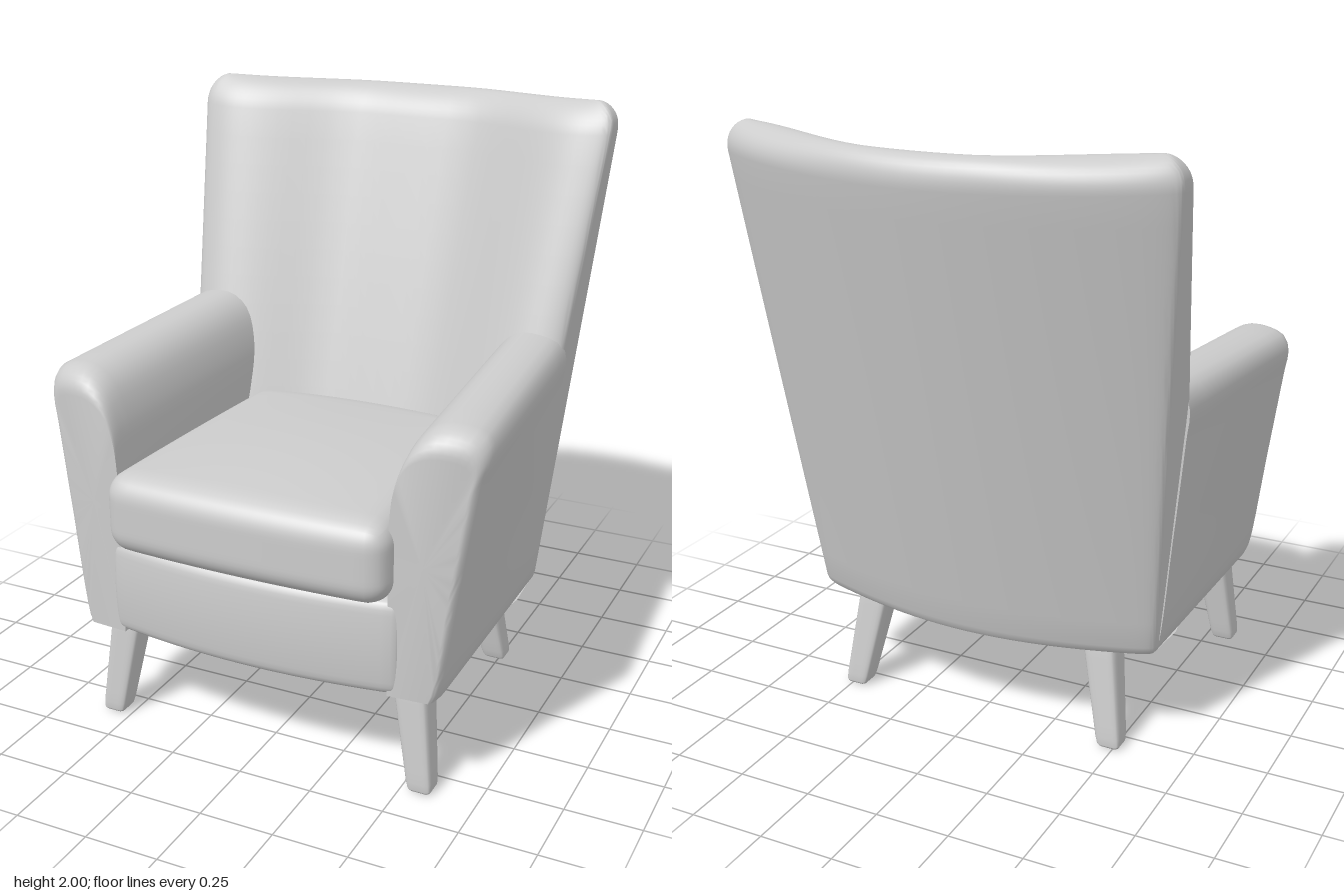
import * as THREE from 'three';
import { mergeVertices, toCreasedNormals } from 'three/addons/utils/BufferGeometryUtils.js';

const CREASE = 0.75;

// Skin closed rings of Vector3, optionally capping both ends; faces are turned outward by signed volume
function loft(rings, capped) {
  const n = rings[0].length, pos = [], tris = [];
  rings.forEach(r => r.forEach(p => pos.push(p.x, p.y, p.z)));
  for (let i = 0; i < rings.length - 1; i++) {
    for (let j = 0; j < n; j++) {
      const a = i * n + j, b = i * n + (j + 1) % n;
      tris.push([a, b, b + n], [a, b + n, a + n]);
    }
  }
  if (capped) [0, rings.length - 1].forEach(i => {
    const c = rings[i].reduce((s, p) => s.add(p), new THREE.Vector3()).divideScalar(n);
    const k = pos.length / 3;
    pos.push(c.x, c.y, c.z);
    for (let j = 0; j < n; j++) {
      const a = i * n + j, b = i * n + (j + 1) % n;
      tris.push(i === 0 ? [k, b, a] : [k, a, b]);
    }
  });
  const at = i => new THREE.Vector3().fromArray(pos, i * 3);
  const volume = tris.reduce((s, [a, b, c]) => s + at(a).dot(at(b).cross(at(c))), 0);
  if (volume < 0) tris.forEach(t => t.reverse());
  const g = new THREE.BufferGeometry();
  g.setAttribute('position', new THREE.Float32BufferAttribute(pos, 3));
  g.setIndex(tris.flat());
  return toCreasedNormals(g, CREASE);
}

// Rounded block whose vertices are then moved by a warp rule
function puff(w, h, d, r, warp, seg = 20) {
  let g = new THREE.BoxGeometry(w, h, d, seg, seg, seg);
  g.deleteAttribute('uv');
  g.deleteAttribute('normal');
  g = mergeVertices(g);
  const p = g.attributes.position, v = new THREE.Vector3(), half = new THREE.Vector3(w / 2, h / 2, d / 2);
  const inner = half.clone().subScalar(r);
  for (let i = 0; i < p.count; i++) {
    v.fromBufferAttribute(p, i);
    for (const k of ['x', 'y', 'z']) v[k] = half[k] * Math.sin(Math.PI / 2 * v[k] / half[k]);
    const core = v.clone().clamp(inner.clone().negate(), inner);
    v.sub(core).setLength(r).add(core);
    warp(v);
    p.setXYZ(i, v.x, v.y, v.z);
  }
  g.computeVertexNormals();
  return g;
}

// Curved, raked backrest with wings; it closes along a curved ridge at top and bottom
function backGeometry() {
  const N = 56, levels = [[0.35, 0, 0], [0.35, 0.95, 0.01], [0.362, 0.985, 0.003]];
  for (let i = 0; i <= 16; i++) levels.push([0.38 + 1.52 * i / 16, 1, 0]);
  for (let i = 1; i <= 10; i++) {
    const a = Math.PI / 2 * i / 10;
    levels.push([1.9 + 0.1 * Math.sin(a), Math.cos(a), 0.075 * (1 - Math.cos(a))]);
  }
  return loft(levels.map(([y, thick, inset]) => {
    const t = (y - 0.35) / 1.6, w = 0.62 + 0.138 * Math.min(t, 1) - inset, ring = [];
    const point = (u, side) => {
      const m = Math.abs(u);
      const outer = -0.42 - 0.345 * t + (0.12 + 0.08 * t) * m ** 1.9;
      const inner = -0.27 - 0.325 * (y - 0.95) + 0.165 * THREE.MathUtils.smoothstep(m, 0.2, 0.9);
      const n = side < 0 ? THREE.MathUtils.lerp(30, 9, Math.min(t, 1)) : 5;
      const h = (inner - outer) / 2 * thick * Math.max(0, 1 - m ** n) ** (1 / n);
      ring.push(new THREE.Vector3(u * w, y + 0.018 * t * t * (u * u - 1),
        (outer + inner) / 2 + side * h));
    };
    const spread = i => Math.sin(Math.PI / 2 * Math.sin(Math.PI / 2 * (2 * i / N - 1)));
    for (let i = 0; i < N; i++) point(spread(i), -1);
    for (let i = N; i > 0; i--) point(spread(i), 1);
    return ring;
  }), false);
}

// Arm: rolled-top section swept from back to front, with a softened front edge
function armGeometry(side) {
  const section = new THREE.CatmullRomCurve3([
    [0.47, 0.35], [0.47, 0.66], [0.47, 0.93], [0.488, 1.08], [0.535, 1.185], [0.6, 1.228],
    [0.68, 1.228], [0.733, 1.207], [0.752, 1.16], [0.739, 1.07], [0.693, 0.76], [0.635, 0.38], [0.622, 0.35],
  ].map(([x, y]) => new THREE.Vector3(x, y, 0)), false, 'centripetal').getSpacedPoints(64);
  const stations = [-0.27, -0.15, 0, 0.15, 0.3, 0.45, 0.56].map(z => [z, 0]);
  for (let i = 1; i <= 8; i++) {
    const a = Math.PI / 2 * i / 8;
    stations.push([0.56 + 0.1 * Math.sin(a), 1 - Math.cos(a)]);
  }
  return loft(stations.map(([z, round]) => {
    const back = (0.6 - Math.min(z, 0.6)) / 0.9;
    const front = Math.max(0, (z - 0.3) / 0.36);
    return section.map(p => {
      const f = (p.y - 0.35) / 0.85;
      const x = p.x - back * (0.012 + 0.045 * f) - round * 0.04 * Math.max(0, (p.x - 0.47) / 0.27);
      const y = p.y + 0.036 * back * f ** 4 - round * 0.075 * f ** 3;
      const bow = 0.035 * front * Math.max(0, (p.x - 0.5) / 0.24) ** 2;
      return new THREE.Vector3(side * x, y, z - bow);
    });
  }), true);
}

// Splayed, tapered leg from the floor up into the base
function legGeometry(top, bottom) {
  return puff(0.115, 0.38, 0.115, 0.025, v => {
    const t = (v.y + 0.19) / 0.38, s = 0.72 + 0.28 * t;
    v.set(v.x * s + THREE.MathUtils.lerp(bottom[0], top[0], t), v.y + 0.19,
      v.z * s + THREE.MathUtils.lerp(bottom[1], top[1], t));
  }, 10);
}

export function createModel() {
  const group = new THREE.Group();
  const grey = new THREE.MeshStandardMaterial({ color: 0xcccccc });
  grey.name = 'light grey';
  const add = (name, geometry) => {
    const mesh = new THREE.Mesh(geometry, grey);
    mesh.name = name;
    group.add(mesh);
  };

  add('backrest', backGeometry());

  // Seat base with a bowed front rail, its ends tucked into the arms
  add('seatBase', puff(1.02, 0.325, 0.9, 0.035, v => {
    const front = Math.max(0, v.z / 0.45);
    const bulge = 0.05 * (1 - (v.x / 0.51) ** 2) + 0.012 * (1 - (v.y / 0.163) ** 2);
    v.z += 0.205 + front * bulge;
    v.y += 0.5115;
  }));

  // Seat cushion: crowned top, bowed front and back, narrower toward the back
  add('seatCushion', puff(0.98, 0.27, 0.98, 0.08, v => {
    const u = v.x / 0.49, w = v.z / 0.49;
    const crown = (1 - u * u) * (1 - w * w);
    v.y += 0.8 + (v.y > 0 ? 0.03 * crown : 0);
    v.z += 0.245 + (w > 0 ? 0.022 : 0.035) * w * (1 - u * u);
    v.x *= 0.95 + 0.055 * w;
  }, 24));

  for (const [side, label] of [[1, 'left'], [-1, 'right']]) {
    add(label + 'Arm', armGeometry(side));
    add(label + 'FrontLeg', legGeometry([side * 0.51, 0.54], [side * 0.565, 0.585]));
    add(label + 'BackLeg', legGeometry([side * 0.42, -0.25], [side * 0.485, -0.312]));
  }
  return group;
}
